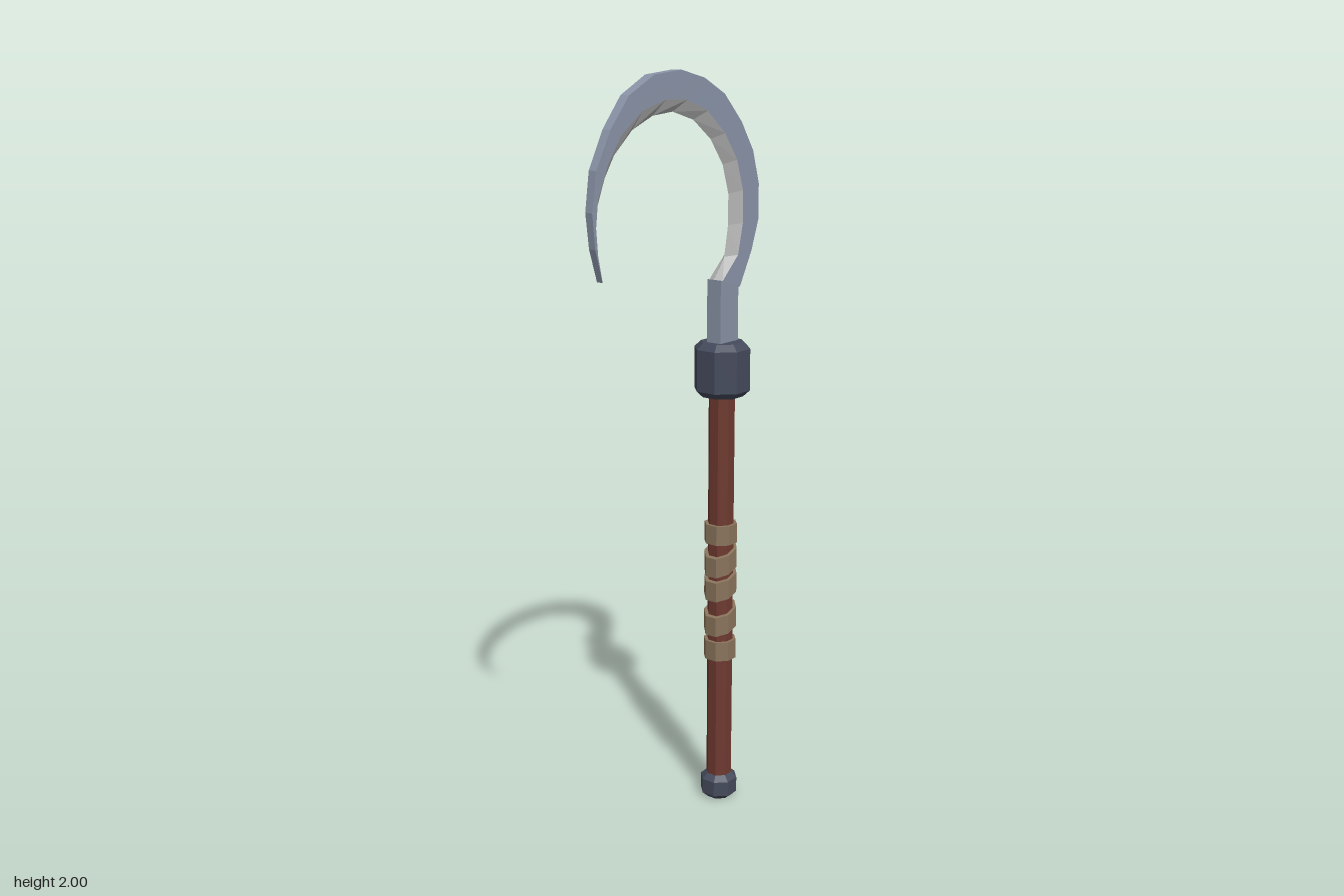
import * as THREE from 'three';

const mat = (name, color) => {
  const m = new THREE.MeshStandardMaterial({ color });
  m.name = name;
  return m;
};

const AXIS_X = 0.19; // the handle stands off centre

// Flat-shaded octagonal turned part; profile holds [half width across flats, y]
function octagon(name, profile, material) {
  const k = 1 / Math.cos(Math.PI / 8);
  const pts = profile.map(([r, y]) => new THREE.Vector2(r * k, y));
  let geo = new THREE.LatheGeometry(pts, 8, Math.PI / 8).toNonIndexed();
  geo.computeVertexNormals();
  const mesh = new THREE.Mesh(geo, material);
  mesh.name = name;
  mesh.position.x = AXIS_X;
  return mesh;
}

// Chamfered octagonal block
function block(name, r, y0, y1, c, material) {
  return octagon(name, [[0, y0], [r - c, y0], [r, y0 + c], [r, y1 - c], [r - c, y1], [0, y1]], material);
}

// Hooked blade from cross-sections: [outer x, outer y, inner x, inner y]
const SECTIONS = [
  [0.235, 1.45, 0.152, 1.475], [0.285, 1.54, 0.195, 1.53], [0.315, 1.62, 0.21, 1.61],
  [0.315, 1.71, 0.21, 1.69], [0.29, 1.795, 0.185, 1.765], [0.24, 1.87, 0.135, 1.83],
  [0.17, 1.94, 0.065, 1.88], [0.09, 1.98, -0.015, 1.902], [0, 2.0, -0.09, 1.895],
  [-0.1, 1.99, -0.165, 1.865], [-0.19, 1.945, -0.23, 1.81], [-0.255, 1.87, -0.27, 1.75],
  [-0.305, 1.78, -0.297, 1.68], [-0.32, 1.685, -0.3, 1.63], [-0.31, 1.6, -0.295, 1.575],
  [-0.285, 1.52, -0.285, 1.52],
];

function bladeGeometry() {
  const last = SECTIONS.length - 1;
  const rings = SECTIONS.map(([ox, oy, ix, iy], i) => {
    const t = THREE.MathUtils.lerp(0.022, 0.009, i / last);
    const f = i === 0 ? 0.1 : 0.35;
    const bx = ix + (ox - ix) * f, by = iy + (oy - iy) * f;
    return [[ox, oy, t], [bx, by, t], [ix, iy, 0], [bx, by, -t], [ox, oy, -t]];
  });
  const body = [], edge = [];
  for (let i = 0; i < last; i++) {
    for (let k = 0; k < 5; k++) {
      const n = (k + 1) % 5, a = rings[i], b = rings[i + 1];
      const out = k === 1 || k === 2 ? edge : body; // ground bevel faces
      out.push(...a[k], ...b[k], ...b[n], ...a[k], ...b[n], ...a[n]);
    }
  }
  // Heel of the blade
  for (let k = 1; k < 4; k++) body.push(...rings[0][0], ...rings[0][k], ...rings[0][k + 1]);
  const geo = new THREE.BufferGeometry();
  geo.setAttribute('position', new THREE.Float32BufferAttribute(body.concat(edge), 3));
  geo.addGroup(0, body.length / 3, 0);
  geo.addGroup(body.length / 3, edge.length / 3, 1);
  geo.computeVertexNormals();
  return geo;
}

export function createModel() {
  const steel = mat('blue steel', 0x8a94a8);
  const ground = mat('ground edge', 0xb4b4b4);
  const iron = mat('dark iron', 0x454b5c);
  const wood = mat('red brown wood', 0x6e3a30);
  const leather = mat('tan wrap', 0x8a745c);

  const model = new THREE.Group();
  model.name = 'hookedSickle';

  // Blade and tang
  const blade = new THREE.Mesh(bladeGeometry(), [steel, ground]);
  blade.name = 'blade';
  const tangShape = new THREE.Shape([
    [0.153, 1.28], [0.228, 1.28], [0.228, 1.452], [0.153, 1.475],
  ].map(([x, y]) => new THREE.Vector2(x, y)));
  const tangGeo = new THREE.ExtrudeGeometry(tangShape, { depth: 0.044, bevelEnabled: false });
  tangGeo.translate(0, 0, -0.022);
  const tang = new THREE.Mesh(tangGeo, steel);
  tang.name = 'tang';
  model.add(blade, tang);

  // Handle with iron fittings
  model.add(
    octagon('handle', [[0, 0.04], [0.033, 0.04], [0.033, 1.2], [0, 1.2]], wood),
    block('collar', 0.07, 1.165, 1.31, 0.017, iron),
    block('pommel', 0.048, 0, 0.072, 0.015, iron),
  );

  // Grip wraps: level at both ends, slanted between
  const wraps = [[0.45, 0], [0.537, 0.36], [0.638, 0.36], [0.709, 0.4], [0.785, 0]];
  wraps.forEach(([y, slope], i) => {
    const band = octagon('gripWrap' + (i + 1),
      [[0.03, -0.027], [0.042, -0.027], [0.042, 0.027], [0.03, 0.027]], leather);
    const pos = band.geometry.attributes.position;
    for (let j = 0; j < pos.count; j++) pos.setY(j, pos.getY(j) + pos.getX(j) * slope);
    band.geometry.computeVertexNormals();
    band.position.y = y;
    model.add(band);
  });

  return model;
}
